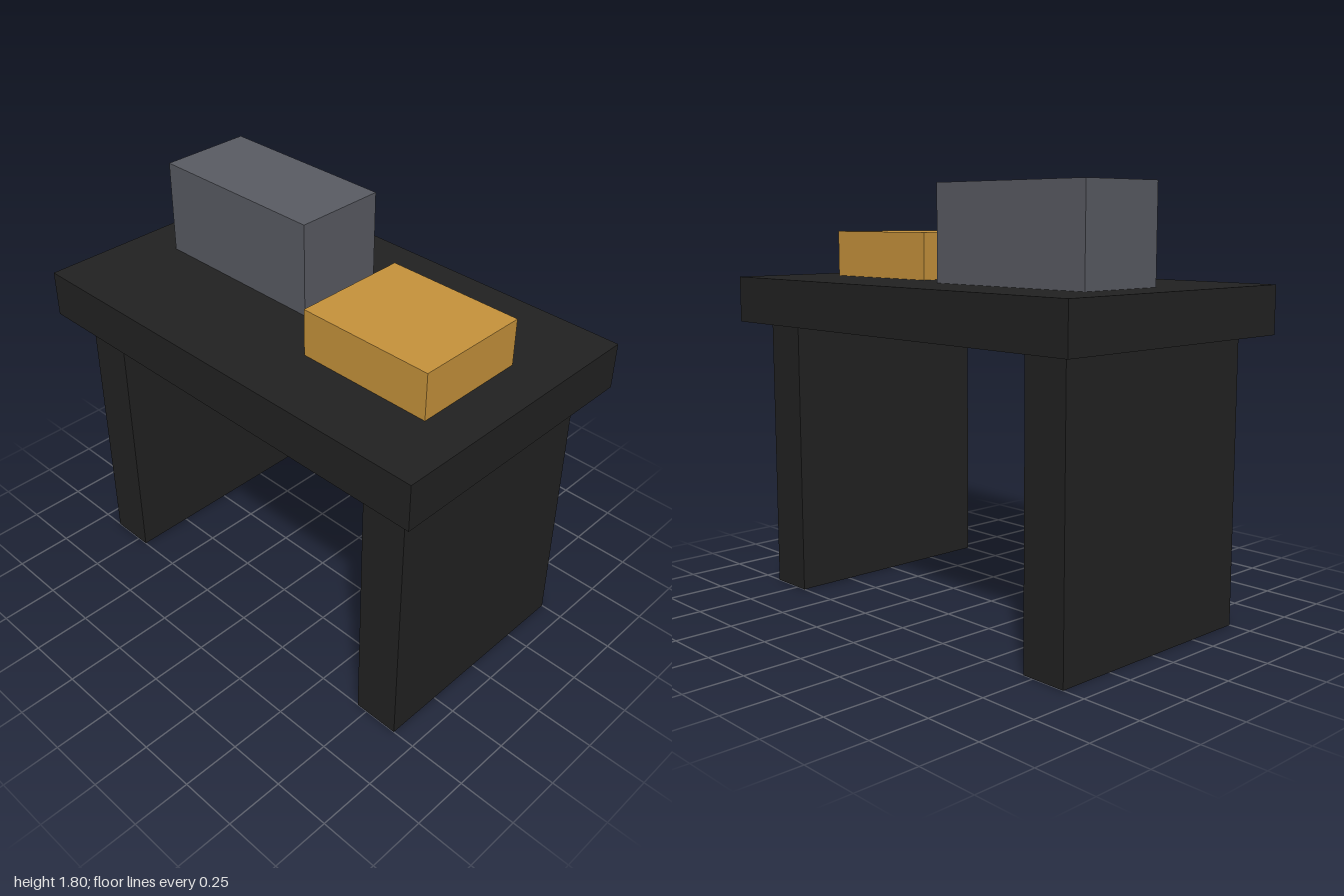
import * as THREE from 'three';

export function createModel() {
  const group = new THREE.Group();

  const material = (name, color) => {
    const m = new THREE.MeshStandardMaterial({ color });
    m.name = name;
    return m;
  };
  const black = material('black', 0x222222);
  const grey = material('slate grey', 0x5a5c64);
  const ochre = material('ochre', 0xc8943c);

  // Box given by its size and the centre of its base
  const addBox = (name, mat, [w, h, d], [x, y, z]) => {
    const mesh = new THREE.Mesh(new THREE.BoxGeometry(w, h, d), mat);
    mesh.name = name;
    mesh.position.set(x, y + h / 2, z);
    group.add(mesh);
  };

  // Table: top on two slab legs
  addBox('tableTop', black, [2, 0.2, 1.2], [0, 1.2, 0]);
  for (const side of [-1, 1]) {
    addBox(side > 0 ? 'leftLeg' : 'rightLeg', black, [0.2, 1.2, 1], [side * 0.8, 0, 0]);
  }

  // Boxes resting on the table
  addBox('tallBox', grey, [0.8, 0.4, 0.4], [-0.4, 1.4, -0.1]);
  addBox('lowBox', ochre, [0.6, 0.2, 0.5], [0.5, 1.4, 0.05]);

  return group;
}
